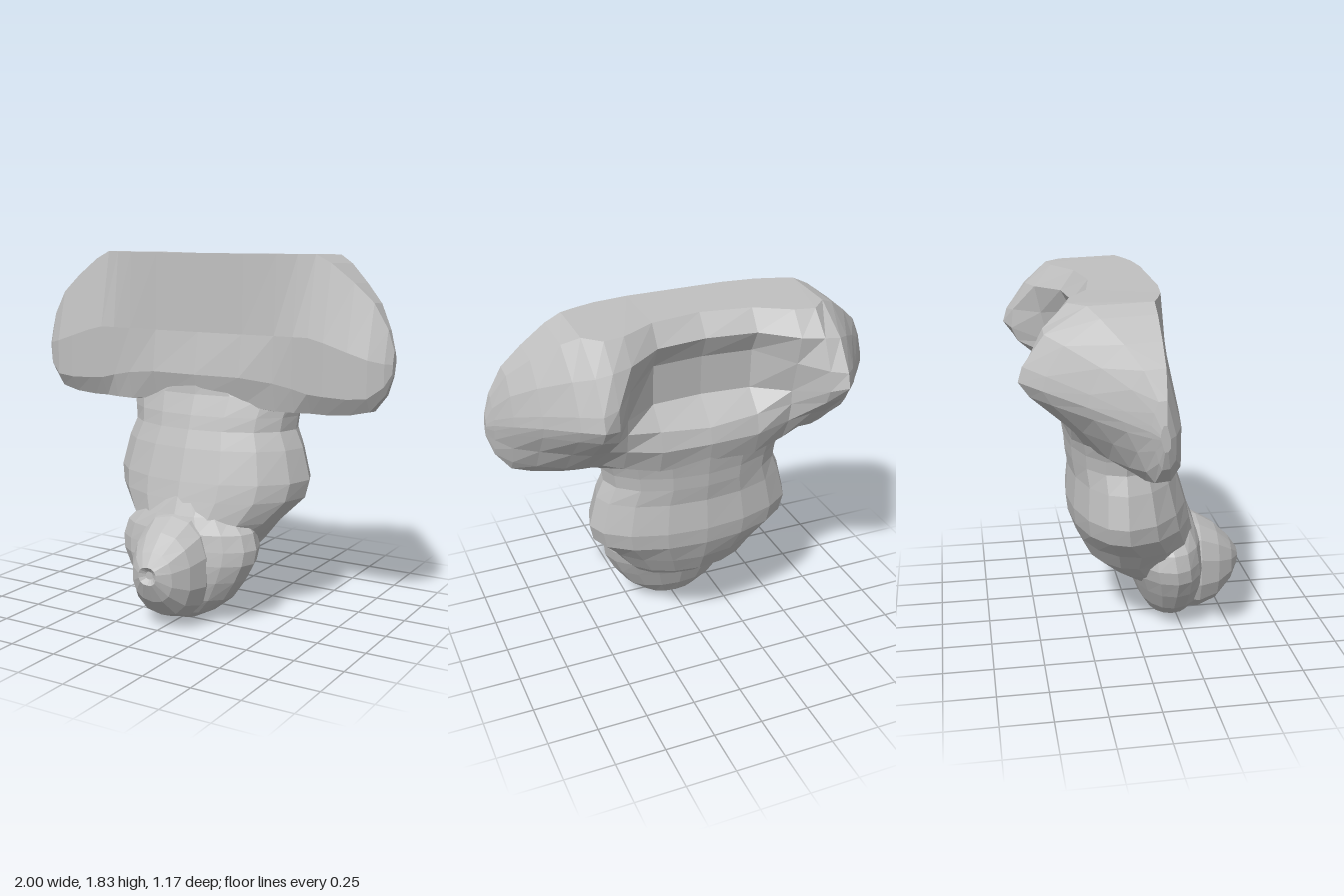
import * as THREE from 'three';

const V = (x, y, z) => new THREE.Vector3(x, y, z);

// Closed skin over a row of equal-length rings, capped at both ends, facing outwards
function loft(rings) {
  const n = rings[0].length, pts = rings.flat(), idx = [];
  for (let r = 0; r < rings.length - 1; r++) {
    for (let i = 0; i < n; i++) {
      const a = r * n + i, b = r * n + (i + 1) % n;
      idx.push(a, b, a + n, b, b + n, a + n);
    }
  }
  [0, rings.length - 1].forEach((r, end) => {
    const centre = pts.length;
    pts.push(rings[r].reduce((s, p) => s.add(p), V(0, 0, 0)).divideScalar(n));
    for (let i = 0; i < n; i++) {
      const a = r * n + i, b = r * n + (i + 1) % n;
      idx.push(...(end ? [a, b, centre] : [b, a, centre]));
    }
  });
  let volume = 0;
  for (let i = 0; i < idx.length; i += 3) {
    volume += pts[idx[i]].dot(pts[idx[i + 1]].clone().cross(pts[idx[i + 2]]));
  }
  if (volume < 0) idx.reverse();
  const geo = new THREE.BufferGeometry().setFromPoints(pts);
  geo.setIndex(idx);
  geo.computeVertexNormals();
  return geo;
}

// Egg-shaped level ring: half width, front z, back z and z of the widest point
function eggRing([y, halfWidth, front, back, widest], sides = 16) {
  return Array.from({ length: sides }, (_, i) => {
    const a = (i / sides) * Math.PI * 2, c = Math.cos(a);
    return V(halfWidth * Math.sin(a), y, widest + c * (c > 0 ? front - widest : widest - back));
  });
}

// Upright rounded ring: z, half width, centre height and half height
function snoutRing([z, halfWidth, yc, halfHeight], sides = 14) {
  return Array.from({ length: sides }, (_, i) => {
    const a = (i / sides) * Math.PI * 2, c = Math.cos(a), s = Math.sin(a);
    const soft = (v) => Math.sign(v) * Math.abs(v) ** 0.85;
    return V(halfWidth * soft(s), yc + halfHeight * soft(c), z);
  });
}

// Crossbar: [z, y] sections from the hollow middle out to the rear lobe
function crossbarRings() {
  const inner = [
    [0, [[.1, 1.84], [.11, 1.45], [.15, 1.24], [.12, 1.12], [-.1, 1.05], [-.34, 1.1],
      [-.37, 1.22], [-.35, 1.3], [-.22, 1.42], [-.23, 1.62], [-.28, 1.73], [-.2, 1.83]]],
    [.25, [[.1, 1.84], [.11, 1.45], [.14, 1.24], [.1, 1.1], [-.1, 1.05], [-.32, 1.1],
      [-.36, 1.22], [-.34, 1.32], [-.24, 1.42], [-.25, 1.62], [-.31, 1.73], [-.24, 1.83]]],
    [.42, [[.08, 1.84], [.1, 1.45], [.11, 1.22], [.08, 1.08], [-.1, 1.05], [-.28, 1.13],
      [-.34, 1.25], [-.36, 1.35], [-.36, 1.42], [-.4, 1.58], [-.43, 1.72], [-.34, 1.83]]],
    [.52, [[.05, 1.84], [.1, 1.45], [.1, 1.2], [.07, 1.08], [-.1, 1.065], [-.26, 1.16],
      [-.38, 1.29], [-.52, 1.41], [-.55, 1.48], [-.54, 1.58], [-.47, 1.72], [-.36, 1.83]]],
    [.6, [[.02, 1.84], [.1, 1.45], [.1, 1.18], [.05, 1.08], [-.1, 1.07], [-.24, 1.15],
      [-.38, 1.29], [-.54, 1.43], [-.59, 1.5], [-.57, 1.57], [-.47, 1.71], [-.28, 1.83]]],
  ];
  // Beyond the lobe the last section shrinks to the tip: x, back scale, front scale, top, bottom
  const outer = [
    [.68, .83, 1, 1.8, 1.07], [.8, .52, .95, 1.71, 1.08], [.9, .28, .85, 1.62, 1.105],
    [.97, .1, .5, 1.5, 1.19], [1, .04, .2, 1.4, 1.28],
  ];
  const lobe = inner[4][1];
  const half = inner.concat(outer.map(([x, back, front, top, bottom]) => [x,
    lobe.map(([z, y]) => [z * (z > 0 ? front : back), bottom + (y - 1.07) / .77 * (top - bottom)])]));
  const ring = (x, section) => section.map(([z, y]) => V(x, y, z));
  return [
    ...half.slice(1).reverse().map(([x, s]) => ring(-x, s)),
    ...half.map(([x, s]) => ring(x, s)),
  ];
}

export function createModel() {
  const model = new THREE.Group();
  const grey = new THREE.MeshStandardMaterial({ color: 0xbfbfbf, flatShading: true });
  grey.name = 'plain grey';
  const add = (name, rings) => {
    const mesh = new THREE.Mesh(loft(rings), grey);
    mesh.name = name;
    model.add(mesh);
  };

  add('crossbar', crossbarRings());

  // Trunk leaning forward, swollen at mid height
  add('trunk', [
    [1.25, .3, .13, -.36, -.1], [1.14, .5, .14, -.35, -.1], [1.04, .47, .18, -.335, -.08],
    [.97, .46, .2, -.33, -.08], [.88, .5, .235, -.315, -.08], [.72, .54, .285, -.33, -.08],
    [.63, .52, .31, -.32, -.07], [.52, .42, .34, -.28, 0], [.42, .34, .33, -.23, 0],
    [.34, .28, .3, -.13, .05], [.26, .2, .25, 0, .1],
  ].map((r) => eggRing(r)));

  // Rounded bulb at the foot
  add('lowerBulb', [
    [.66, .14, .3, 0, .12], [.56, .28, .34, 0, .16], [.48, .36, .37, -.03, .18],
    [.4, .385, .38, -.05, .19], [.33, .375, .39, -.03, .2], [.24, .33, .39, .01, .2],
    [.14, .26, .37, .05, .2], [.06, .16, .33, .1, .21], [.01, .06, .27, .17, .22],
  ].map((r) => eggRing(r)));

  // Blunt snout with a slight dimple at its end
  add('snout', [
    [.25, .19, .32, .27], [.36, .2, .3, .26], [.46, .17, .29, .21],
    [.54, .115, .295, .125], [.585, .05, .31, .045], [.565, .02, .31, .02],
  ].map((r) => snoutRing(r)));

  return model;
}
